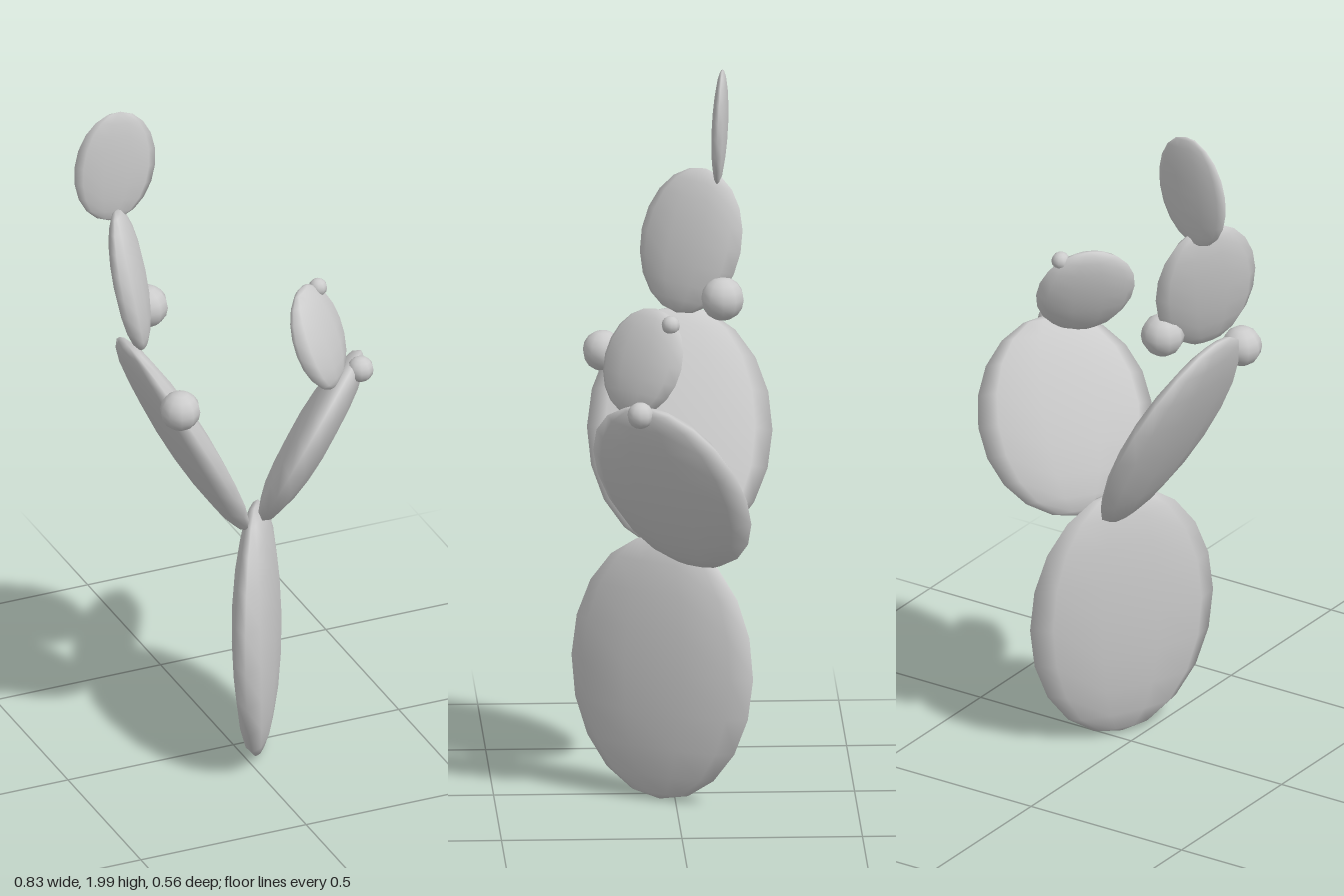
import * as THREE from 'three';

// Low-poly smooth spheroid: poles along the pad's length, crisp vertices on its rim
const unit = new THREE.SphereGeometry(1, 10, 10);
const grey = new THREE.MeshStandardMaterial({ color: 0xcccccc });

// name, centre, length direction, face normal, half sizes [width, length, thickness]
const PADS = [
  ['basePad', [0.055, 0.385, 0.035], [-0.01, 1, -0.02], [0.87, 0, 0.5], [0.283, 0.375, 0.063]],
  ['leftLowerPad', [0.23, 0.945, 0.015], [0.36, 0.89, 0.27], [0.712, -0.431, 0.554], [0.253, 0.283, 0.06]],
  ['leftUpperPad', [0.215, 1.3, 0.095], [-0.24, 0.874, -0.229], [0.676, 0.355, 0.646], [0.14, 0.152, 0.04]],
  ['rightLowerPad', [-0.145, 1.015, -0.022], [-0.46, 0.89, -0.03], [0.89, 0.46, 0], [0.257, 0.35, 0.052]],
  ['rightMiddlePad', [-0.287, 1.515, -0.06], [-0.12, 0.97, -0.2], [0.86, 0.2, 0.47], [0.155, 0.205, 0.042]],
  ['rightTopPad', [-0.297, 1.835, -0.14], [0.12, 0.99, -0.03], [-0.1, 0.04, 0.99], [0.118, 0.166, 0.022]],
];

// centre, radius
const FRUITS = [
  [[-0.243, 1.215, 0.187], 0.057],
  [[-0.2, 1.37, -0.143], 0.061],
  [[0.337, 1.178, 0.108], 0.037],
  [[0.247, 1.412, 0.02], 0.026],
];

function makePad(name, centre, along, normal, size) {
  const y = new THREE.Vector3(...along).normalize();
  const n = new THREE.Vector3(...normal);
  const x = new THREE.Vector3().crossVectors(y, n).normalize();
  const z = new THREE.Vector3().crossVectors(x, y);
  const pad = new THREE.Mesh(unit, grey);
  pad.name = name;
  pad.quaternion.setFromRotationMatrix(new THREE.Matrix4().makeBasis(x, y, z));
  pad.position.set(...centre);
  pad.scale.set(...size);
  return pad;
}

export function createModel() {
  const cactus = new THREE.Group();
  cactus.name = 'pricklyPear';

  // Flat oval pads growing out of one another in two branches
  for (const p of PADS) cactus.add(makePad(...p));

  // Round fruits on the pad rims
  const fruitGeometry = new THREE.SphereGeometry(1, 10, 8);
  FRUITS.forEach(([centre, radius], i) => {
    const fruit = new THREE.Mesh(fruitGeometry, grey);
    fruit.name = `fruit${i + 1}`;
    fruit.position.set(...centre);
    fruit.scale.setScalar(radius);
    cactus.add(fruit);
  });

  return cactus;
}
